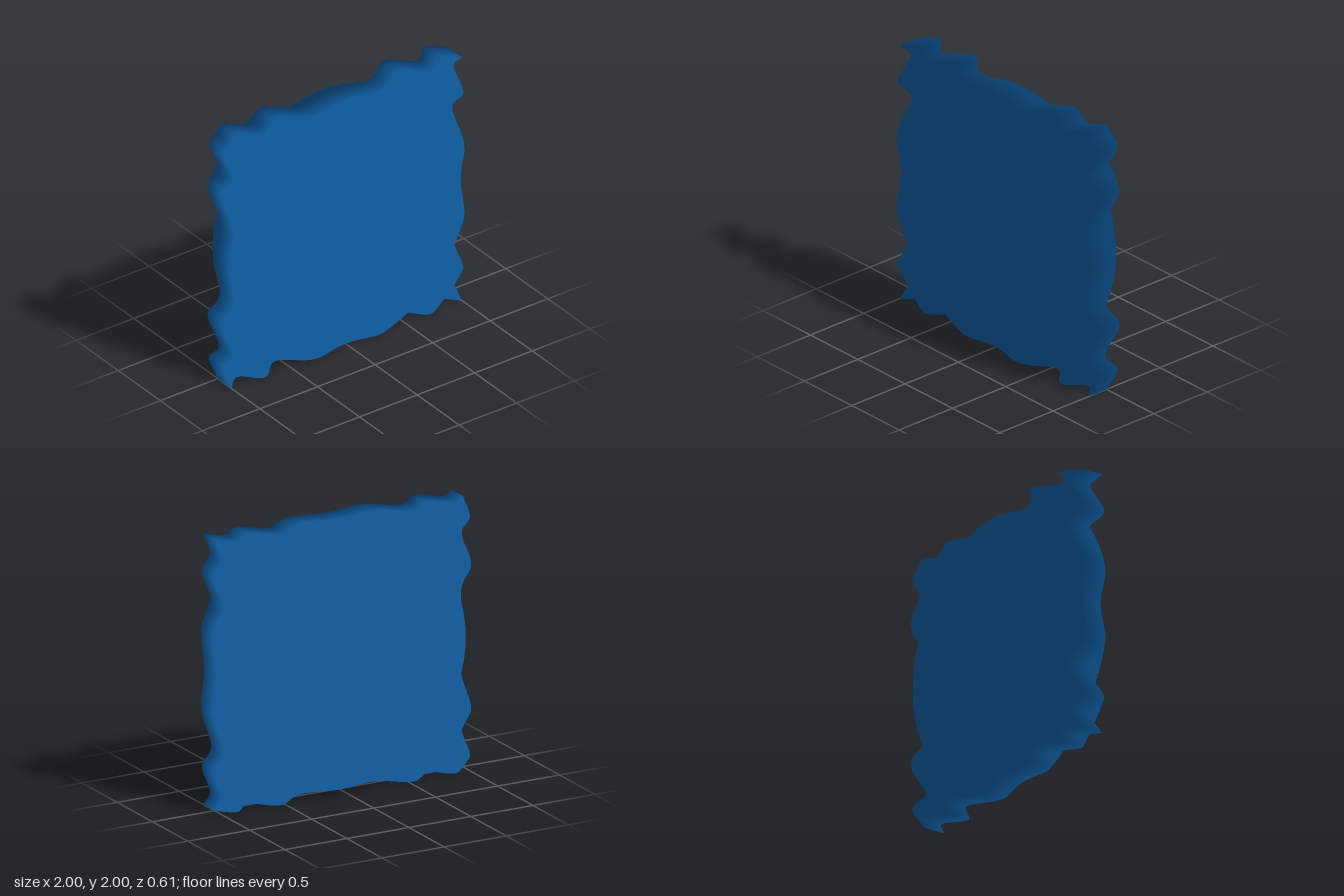
import * as THREE from 'three';

const SIZE = 2, THICK = 0.17, SEGMENTS = 100;

// Height of the damped circular ripple at distance r from the middle
function ripple(r) {
  const amplitude = 0.25 * Math.exp(-1.13 * r);
  const mean = 0.044 - 0.06 * Math.exp(-1.4 * r);
  return mean + amplitude * Math.cos((2 * Math.PI * (r - 0.035)) / 0.2);
}

export function createModel() {
  const group = new THREE.Group();
  group.name = 'rippledPanel';

  // Square slab whose front and back both follow the ripple
  const geometry = new THREE.BoxGeometry(SIZE, SIZE, THICK, SEGMENTS, SEGMENTS, 1);
  const pos = geometry.attributes.position;
  const normal = geometry.attributes.normal;
  for (let i = 0; i < pos.count; i++) {
    const z = pos.getZ(i);
    // Evenly shaded faces: normals stay straight forward or straight back
    normal.setXYZ(i, 0, 0, Math.sign(z));
    pos.setZ(i, z + ripple(Math.hypot(pos.getX(i), pos.getY(i))));
  }
  geometry.translate(0, SIZE / 2, 0);

  const slab = new THREE.Mesh(geometry, new THREE.MeshStandardMaterial({ color: 0x0f62aa }));
  slab.name = 'rippledSlab';
  group.add(slab);
  return group;
}
